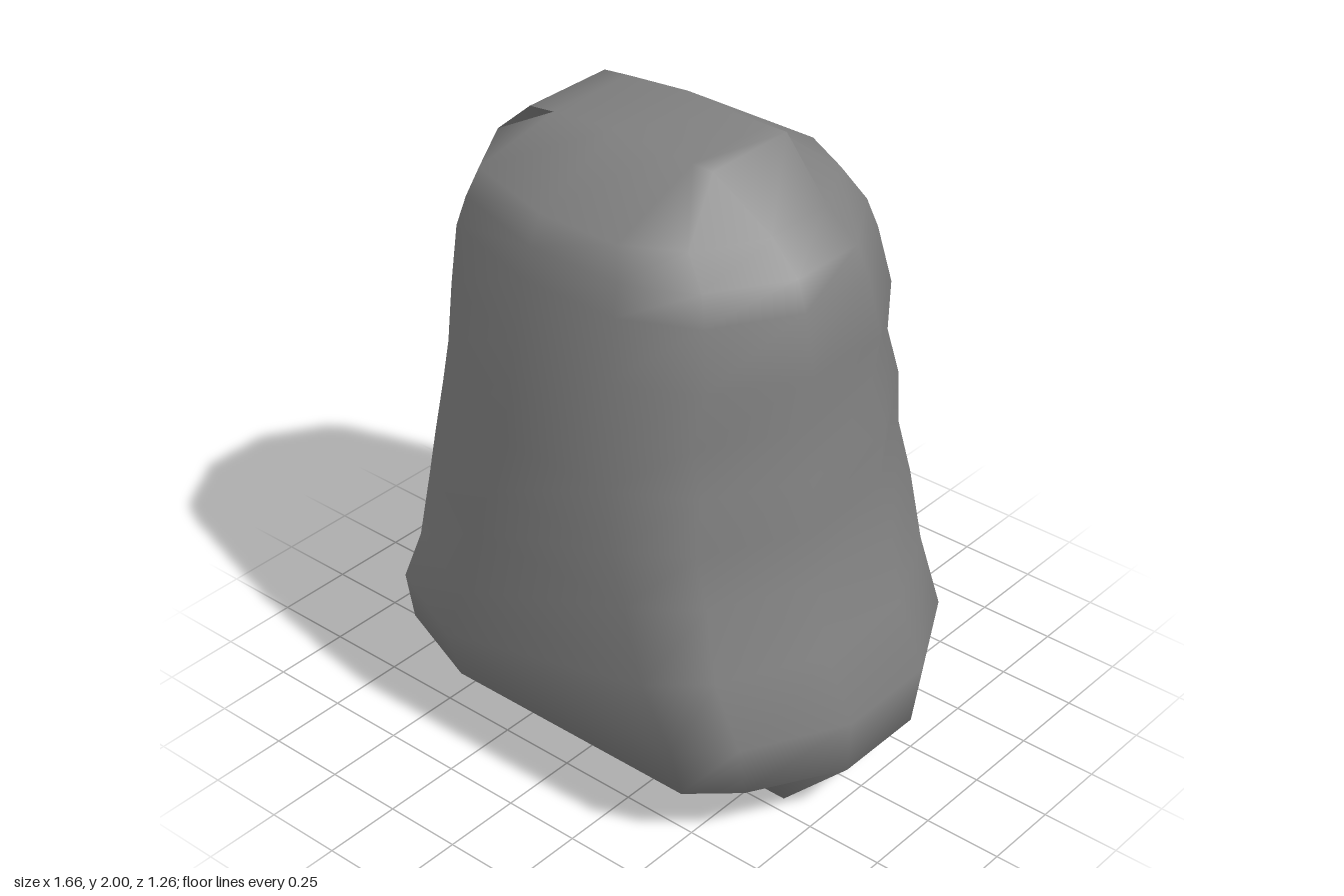
import * as THREE from 'three';

// Horizontal sections, bottom to top: height, left edge, right edge, half depth
const SECTIONS = [
  [0, -0.68, 0.61, 0.2],
  [0.19, -0.83, 0.81, 0.56],
  [0.38, -0.81, 0.83, 0.62],
  [0.58, -0.72, 0.735, 0.63],
  [0.81, -0.69, 0.695, 0.615],
  [0.97, -0.67, 0.645, 0.605],
  [1.15, -0.65, 0.66, 0.585],
  [1.29, -0.63, 0.61, 0.57],
  [1.47, -0.63, 0.64, 0.54],
  [1.65, -0.63, 0.595, 0.5],
  [1.74, -0.605, 0.56, 0.47],
  [1.83, -0.57, 0.46, 0.43],
  [1.985, -0.4, 0.28, 0.16],
];
const SIDES = 12;
const LAST = SECTIONS.length - 1;
// Height change along the crown, from its left end to its peak
const CROWN = [-0.015, -0.005, 0.015];

// Twelve-sided section, squarer near the ground and rounder higher up
function sectionPoints([y, left, right, depth], index) {
  const low = THREE.MathUtils.clamp(1 - (y - 0.4) / 0.8, 0, 1);
  const rightFactors = [1, 0.74 + 0.06 * low, 0.36 + 0.27 * low];
  const leftFactors = [1, 0.77 + 0.08 * low, 0.2 + 0.26 * low];
  const isEnd = index === 0 || index === LAST;
  const zFactors = isEnd ? [1, 1, 1] : [0.28, 0.78, 1];
  const points = [];
  for (let j = 0; j < SIDES; j++) {
    const quarter = Math.floor(j / 3);
    const k = quarter % 2 ? 2 - (j % 3) : j % 3;
    const onRight = quarter === 0 || quarter === 3;
    const x = onRight ? right * rightFactors[k] : left * leftFactors[k];
    const lift = index === LAST && !onRight ? CROWN[k] : 0;
    points.push(x, y + lift, depth * zFactors[k] * (quarter < 2 ? -1 : 1));
  }
  return points;
}

function boulderGeometry() {
  const positions = SECTIONS.flatMap(sectionPoints);
  const indices = [];
  const quad = (a, b, c, d) => indices.push(a, b, c, a, c, d);

  // Walls between neighbouring sections
  for (let i = 0; i < LAST; i++) {
    for (let j = 0; j < SIDES; j++) {
      const a = i * SIDES + j;
      const b = i * SIDES + ((j + 1) % SIDES);
      quad(a, b, b + SIDES, a + SIDES);
    }
  }
  // Narrow strips under the base and over the crown
  const top = LAST * SIDES;
  for (let j = 0; j < SIDES / 2 - 1; j++) {
    quad(SIDES - 1 - j, SIDES - 2 - j, j + 1, j);
    quad(top + j, top + j + 1, top + SIDES - 2 - j, top + SIDES - 1 - j);
  }

  const geometry = new THREE.BufferGeometry();
  geometry.setAttribute('position', new THREE.Float32BufferAttribute(positions, 3));
  geometry.setIndex(indices);
  geometry.computeVertexNormals();
  return geometry;
}

export function createModel() {
  const group = new THREE.Group();
  group.name = 'rock';
  const boulder = new THREE.Mesh(
    boulderGeometry(),
    new THREE.MeshStandardMaterial({ color: 0x808080 })
  );
  boulder.name = 'boulder';
  group.add(boulder);
  return group;
}
